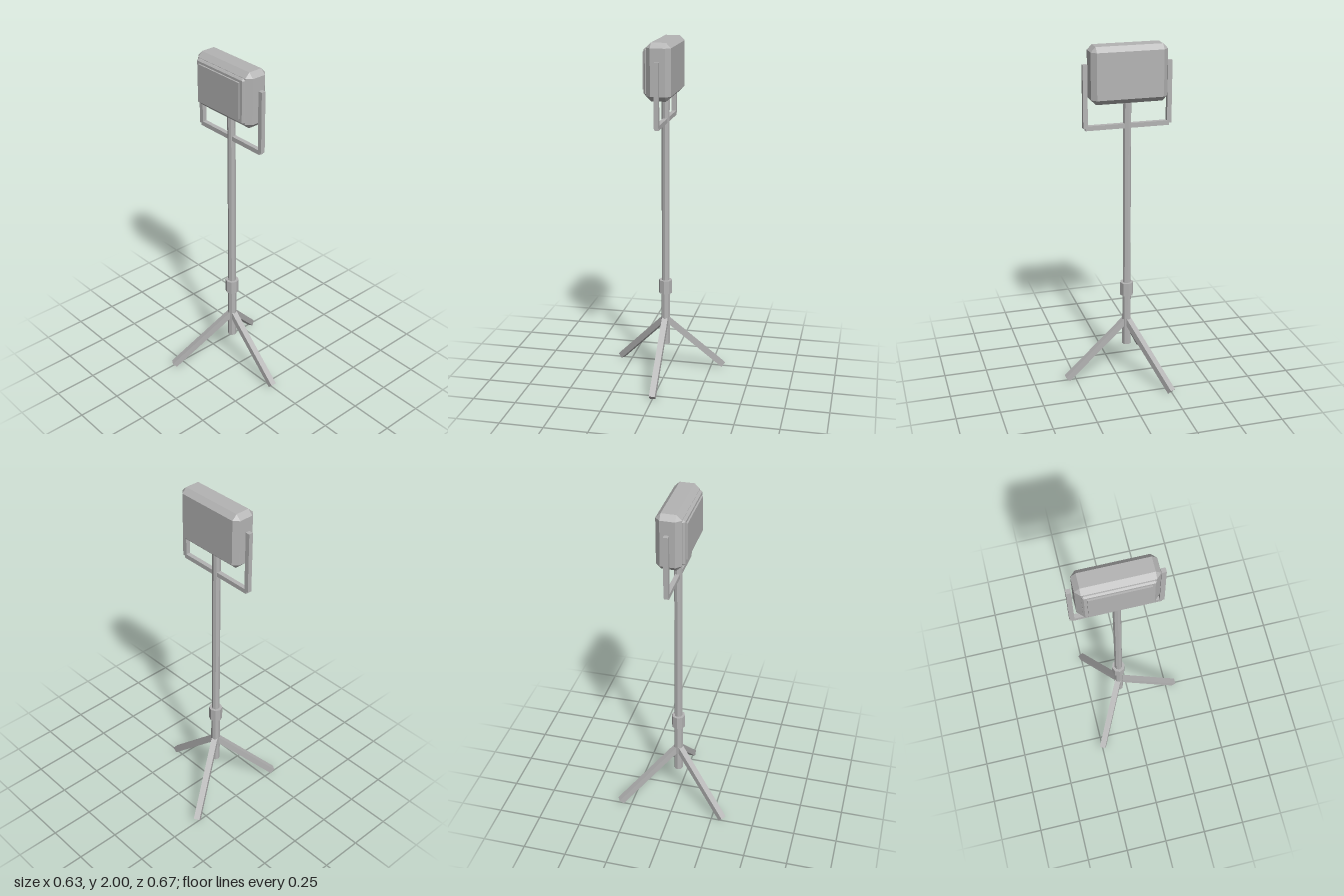
import * as THREE from 'three';
import { ConvexGeometry } from 'three/addons/geometries/ConvexGeometry.js';

const AXIS_X = -0.063, AXIS_Z = -0.001;

export function createModel() {
  const model = new THREE.Group();
  model.name = 'floodlightOnTripod';
  const grey = new THREE.MeshStandardMaterial({ color: 0xb4b4b4, flatShading: true });
  grey.name = 'plain grey';

  // Everything hangs on the pole axis
  const rig = new THREE.Group();
  rig.name = 'lightStand';
  rig.position.set(AXIS_X, 0, AXIS_Z);
  model.add(rig);

  const add = (name, geometry, x, y, z, parent = rig) => {
    const mesh = new THREE.Mesh(geometry, grey);
    mesh.name = name;
    mesh.position.set(x, y, z);
    parent.add(mesh);
    return mesh;
  };

  // Box with all edges cut at 45 degrees by c
  const chamferedBox = (w, h, d, c) => {
    const points = [];
    for (const sx of [-1, 1]) for (const sy of [-1, 1]) for (const sz of [-1, 1]) {
      const x = w / 2, y = h / 2, z = d / 2;
      for (const [px, py, pz] of [[x, y - c, z - c], [x - c, y, z - c], [x - c, y - c, z]]) {
        points.push(new THREE.Vector3(sx * px, sy * py, sz * pz));
      }
    }
    return new ConvexGeometry(points);
  };

  // Upright cylinder between two heights
  const tube = (name, radius, y0, y1) =>
    add(name, new THREE.CylinderGeometry(radius, radius, y1 - y0, 8), 0, (y0 + y1) / 2, 0);

  // Telescopic pole
  tube('lowerPole', 0.026, 0.2, 0.56);
  tube('upperPole', 0.023, 0.56, 1.72);
  tube('clampCollar', 0.039, 0.52, 0.6);

  // Three splayed legs
  const run = 0.365, top = 0.361, foot = 0.0126;
  const length = Math.hypot(run, top - foot);
  for (let i = 0; i < 3; i++) {
    const pivot = new THREE.Group();
    pivot.name = 'legPivot' + (i + 1);
    pivot.rotation.y = (i * Math.PI * 2) / 3;
    rig.add(pivot);
    const leg = add('leg' + (i + 1), new THREE.BoxGeometry(length, 0.035, 0.035),
      run / 2, (top + foot) / 2, 0, pivot);
    leg.rotation.z = -Math.atan2(top - foot, run);
  }

  // U-shaped bracket
  const bar = 0.026, half = 0.24;
  add('bracketCrossbar', new THREE.BoxGeometry(half * 2, bar, bar), 0, 1.547, 0);
  for (const side of [-1, 1]) {
    add(side > 0 ? 'bracketArmLeft' : 'bracketArmRight',
      new THREE.BoxGeometry(bar, 0.353, bar), side * half, 1.7235, 0);
  }

  // Lamp head with its front frame and glass
  add('lampHousing', chamferedBox(0.432, 0.316, 0.138, 0.028), 0, 1.842, 0);
  add('lampFrame', chamferedBox(0.375, 0.256, 0.026, 0.009), 0, 1.842, 0.071);
  add('lampGlass', new THREE.BoxGeometry(0.325, 0.206, 0.02), 0, 1.845, 0.083);

  return model;
}
